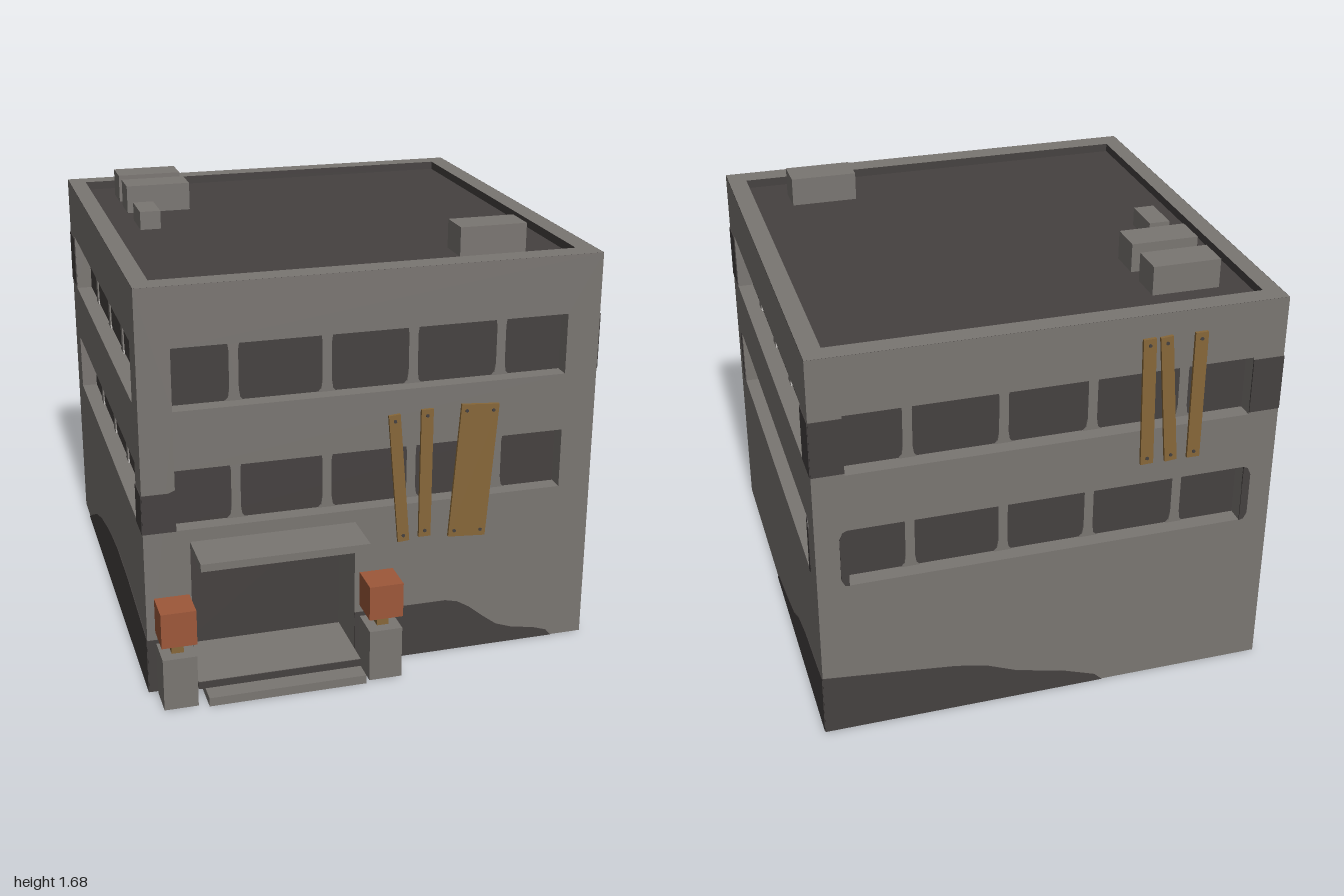
import * as THREE from 'three';

const mat = (name, color, side = THREE.FrontSide) => {
  const m = new THREE.MeshStandardMaterial({ color, side });
  m.name = name;
  return m;
};

export function createModel() {
  const concrete = mat('concrete', 0x7a7672, THREE.DoubleSide);
  const dark = mat('dark grey', 0x454140, THREE.DoubleSide);
  const wood = mat('wood', 0x876739);
  const orange = mat('orange', 0x9d583a);

  const model = new THREE.Group();
  model.name = 'building';
  const X = 0.89, ZF = 0.805, ZB = -0.985, H = 1.6;

  const add = (parent, name, geo, material, x = 0, y = 0, z = 0) => {
    const m = new THREE.Mesh(geo, material);
    m.name = name;
    m.position.set(x, y, z);
    parent.add(m);
    return m;
  };
  // box given by its limits on each axis
  const block = (parent, name, material, x0, x1, y0, y1, z0, z1) =>
    add(parent, name, new THREE.BoxGeometry(x1 - x0, y1 - y0, z1 - z0), material,
      (x0 + x1) / 2, (y0 + y1) / 2, (z0 + z1) / 2);
  const poly = (pts) => new THREE.Shape(pts.map(([x, y]) => new THREE.Vector2(x, y)));
  const rect = (a, b, c, d) => [[a, c], [b, c], [b, d], [a, d]];
  const plate = (parent, name, material, pts, z, depth) =>
    add(parent, name, new THREE.ExtrudeGeometry(poly(pts), { depth, bevelEnabled: false }), material, 0, 0, z);

  // open-fronted niche behind a wall opening
  const recess = (parent, name, [u0, u1, y0, y1], d, backMat) => {
    const g = new THREE.Group();
    g.name = name;
    parent.add(g);
    const t = 0.008, f = -0.001;
    block(g, 'sill', concrete, u0 - t, u1 + t, y0 - t, y0, -d, f);
    block(g, 'lintel', concrete, u0 - t, u1 + t, y1, y1 + t, -d, f);
    block(g, 'jamb', concrete, u0 - t, u0, y0, y1, -d, f);
    block(g, 'jamb', concrete, u1, u1 + t, y0, y1, -d, f);
    block(g, 'backPanel', backMat, u0 - t, u1 + t, y0 - t, y1 + t, -d - t, -d);
    return g;
  };

  // window strip with flared mullions
  const windowRow = (parent, hole) => {
    const [u0, u1, y0, y1] = hole, d = 0.065;
    const g = recess(parent, 'windowRow', hole, d, dark);
    for (const f of [0.158, 0.39, 0.61, 0.84]) {
      const u = u0 + f * (u1 - u0), w = 0.018, e = 0.034, k = 0.012, j = 0.045;
      plate(g, 'mullion', concrete, [
        [u - e, y0], [u + e, y0], [u + w + 0.005, y0 + k], [u + w, y0 + j],
        [u + w, y1 - j], [u + w + 0.005, y1 - k], [u + e, y1], [u - e, y1],
        [u - w - 0.005, y1 - k], [u - w, y1 - j], [u - w, y0 + j], [u - w - 0.005, y0 + k],
      ], -d, 0.006);
    }
  };

  // rounded stain at the end of a window row; s is the outward direction
  const cap = (u, s) => [[u, 0.66], [u + s * 0.017, 0.665], [u + s * 0.03, 0.69],
    [u + s * 0.03, 0.865], [u + s * 0.017, 0.893], [u, 0.9]];

  const LOW = [0.66, 0.9], UP = [1.13, 1.37];
  const door = [-0.715, -0.075, 0.065, 0.58];
  const band = (a, b) => rect(a, b, 1.14, 1.36);

  // each wall uses its own frame: u to the right, y up, +z outward
  const walls = [
    { name: 'frontWall', rot: 0, pos: [0, 0, ZF], u: [-X, X], win: [-0.765, 0.76], door: true,
      stains: [
        rect(-X, -0.715, 0, 0.22),
        [[-0.075, 0], [0.76, 0], [0.74, 0.025], [0.68, 0.045], [0.59, 0.06], [0.52, 0.085], [0.46, 0.13],
          [0.4, 0.18], [0.35, 0.21], [0.3, 0.222], [-0.075, 0.222]],
        [[-X, 0.66], [-0.765, 0.66], [-0.765, 0.825], [-0.79, 0.815], [-X, 0.815]],
      ] },
    { name: 'leftWall', rot: Math.PI / 2, pos: [X, 0, 0], u: [-ZF, -ZB], win: [-0.68, 0.85],
      stains: [
        [[-0.06, 0], [0.985, 0], [0.985, 0.255], [0.87, 0.24], [0.65, 0.22], [0.5, 0.185], [0.37, 0.12],
          [0.2, 0.08], [0, 0.04], [-0.04, 0.025]],
        band(-ZF, -0.68), band(0.85, -ZB), cap(-0.68, -1), cap(0.85, 1),
      ] },
    { name: 'backWall', rot: Math.PI, pos: [0, 0, ZB], u: [-X, X], win: [-0.77, 0.77],
      stains: [
        [[-X, 0], [0.23, 0], [0.2, 0.03], [0.06, 0.08], [-0.03, 0.1], [-0.13, 0.125], [-0.25, 0.175],
          [-0.37, 0.2], [-0.6, 0.225], [-X, 0.255]],
        band(-X, -0.77), band(0.77, X), cap(-0.77, -1), cap(0.77, 1),
      ] },
    { name: 'rightWall', rot: -Math.PI / 2, pos: [-X, 0, 0], u: [ZB, ZF], win: [-0.85, 0.68],
      stains: [
        [[-0.84, 0], [ZF, 0], [ZF, 0.225], [0.4, 0.265], [0.12, 0.275], [-0.05, 0.26], [-0.18, 0.24],
          [-0.37, 0.2], [-0.55, 0.14], [-0.7, 0.07]],
        band(ZB, -0.85), rect(0.68, ZF, 0.66, 0.815),
      ] },
  ];
  for (const w of walls) {
    const g = new THREE.Group();
    g.name = w.name;
    g.position.set(...w.pos);
    g.rotation.y = w.rot;
    model.add(g);
    const shape = poly(rect(...w.u, 0, H));
    const holes = [[...w.win, ...LOW], [...w.win, ...UP]];
    holes.forEach((h) => windowRow(g, h));
    if (w.door) {
      holes.push(door);
      recess(g, 'entrance', door, 0.215, dark);
    }
    shape.holes = holes.map((h) => poly(rect(...h)));
    add(g, 'wallSurface', new THREE.ShapeGeometry(shape), concrete);
    w.stains.forEach((s) => plate(g, 'stain', dark, s, -0.003, 0.006));
  }

  // parapet and sunken roof
  const RY = 1.565, e = 0.001;
  const rim = poly(rect(-X + e, X - e, -ZF + e, -ZB - e));
  rim.holes.push(poly(rect(-0.82, 0.815, -0.715, 0.905)));
  add(model, 'parapet', new THREE.ExtrudeGeometry(rim, { depth: H - RY, bevelEnabled: false }),
    [concrete, dark], 0, RY, 0).rotation.x = -Math.PI / 2;
  block(model, 'roof', dark, -0.83, 0.83, RY - 0.01, RY + 0.001, -0.915, 0.725);

  // roof units
  for (const [x0, x1, top, z0, z1] of [
    [-0.71, -0.445, 1.68, -0.77, -0.635], [-0.71, -0.445, 1.68, -0.555, -0.42],
    [-0.705, -0.622, 1.64, -0.295, -0.125], [0.393, 0.66, 1.68, 0.465, 0.603],
  ]) block(model, 'roofUnit', concrete, x0, x1, RY, top, z0, z1);

  // canopy and steps
  block(model, 'canopy', concrete, -0.715, -0.075, 0.58, 0.61, ZF, 1);
  block(model, 'upperStep', concrete, -0.715, -0.075, 0.035, 0.065, ZF - 0.2, 0.89);
  block(model, 'stepRiser', dark, -0.715, -0.075, 0.035, 0.063, 0.89, 0.894);
  block(model, 'lowerStep', concrete, -0.69, -0.075, 0, 0.035, ZF, 0.968);

  // entrance lamps on pillars
  for (const x of [-0.793, 0.008]) {
    const g = new THREE.Group();
    g.name = 'entranceLamp';
    g.position.set(x, 0, 0.883);
    model.add(g);
    block(g, 'pillar', concrete, -0.065, 0.065, 0, 0.21, -0.067, 0.067);
    block(g, 'lampPost', wood, -0.023, 0.023, 0.21, 0.26, -0.023, 0.023);
    block(g, 'lampBox', orange, -0.067, 0.067, 0.26, 0.4, -0.067, 0.067);
  }

  // nailed boards: top centre, bottom centre, width; s is the facing direction
  const board = (xt, yt, xb, yb, w, s, z) => {
    const g = new THREE.Group();
    g.name = 'board';
    g.position.set((xt + xb) / 2, (yt + yb) / 2, z + s * 0.006);
    g.rotation.z = Math.atan2(xb - xt, yt - yb);
    model.add(g);
    const len = Math.hypot(xt - xb, yt - yb);
    add(g, 'plank', new THREE.BoxGeometry(w, len, 0.012), wood);
    for (const v of [-1, 1]) for (const u of w > 0.1 ? [-1, 1] : [0]) {
      add(g, 'nail', new THREE.CylinderGeometry(0.007, 0.007, 0.006, 6), dark,
        u * (w / 2 - 0.022), v * (len / 2 - 0.025), s * 0.007).rotation.x = Math.PI / 2;
    }
  };
  board(0.072, 1.035, 0.117, 0.51, 0.046, 1, ZF);
  board(0.202, 1.045, 0.202, 0.52, 0.048, 1, ZF);
  board(0.415, 1.045, 0.375, 0.5, 0.152, 1, ZF);
  board(-0.35, 1.51, -0.365, 0.99, 0.05, -1, ZB);
  board(-0.415, 1.51, -0.46, 0.99, 0.048, -1, ZB);
  board(-0.55, 1.51, -0.55, 0.99, 0.05, -1, ZB);

  return model;
}
